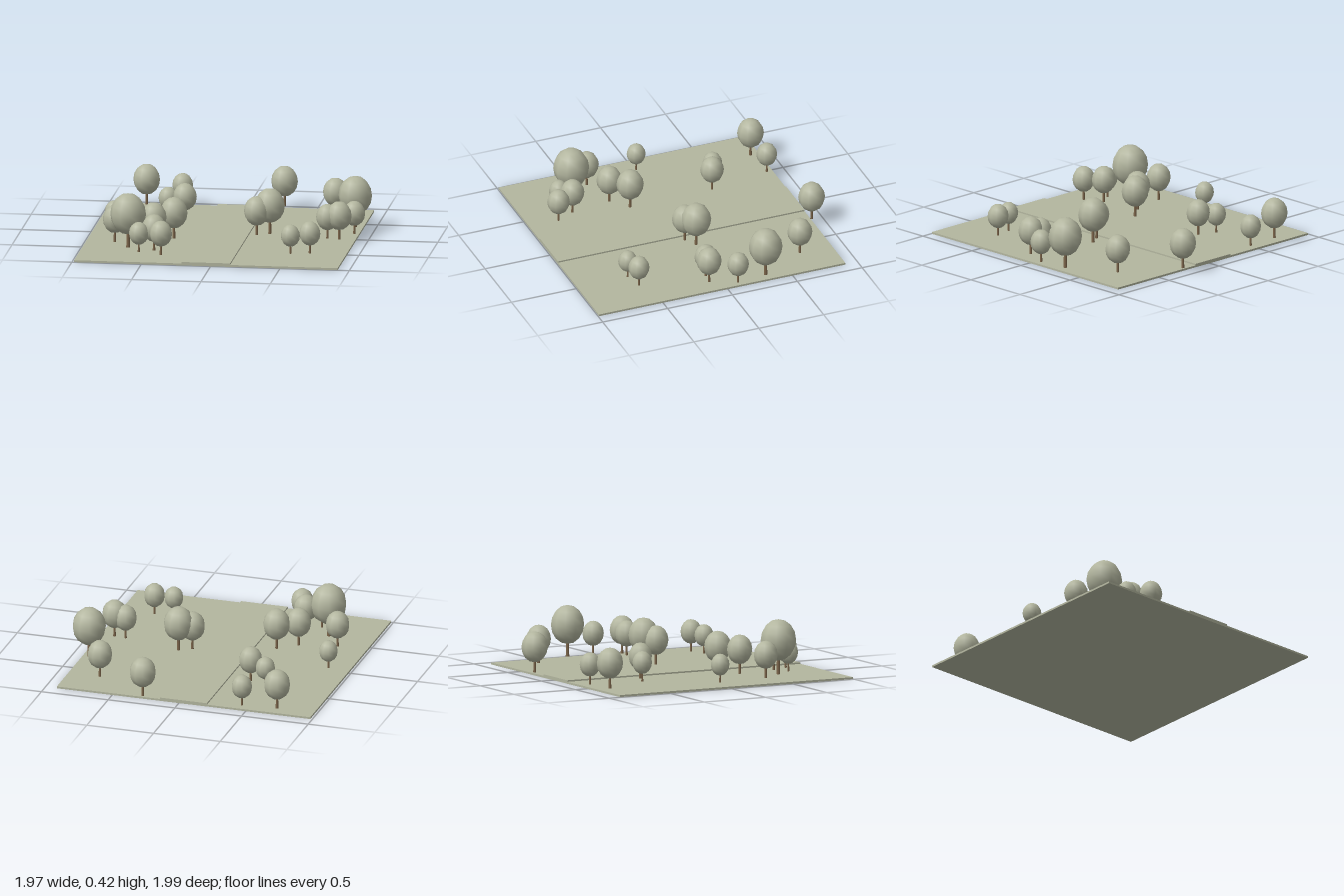
import * as THREE from 'three';

export function createModel() {
  const model = new THREE.Group();
  const sage = new THREE.MeshStandardMaterial({ name: 'sage', color: 0xb3b69f });
  const bark = new THREE.MeshStandardMaterial({ name: 'bark', color: 0x7d664b });

  const slab = (name, x0, x1, y0, y1) => {
    const mesh = new THREE.Mesh(new THREE.BoxGeometry(x1 - x0, y1 - y0, 1.9), sage);
    mesh.name = name;
    mesh.position.set((x0 + x1) / 2, (y0 + y1) / 2, 0.045);
    model.add(mesh);
  };

  // Square ground with a slightly raised road
  slab('ground', -0.985, 0.915, 0, 0.014);
  slab('road', -0.21, 0.14, 0.014, 0.025);

  // Unit tree: crown radius is 1, everything else scales with it
  const crownGeometry = new THREE.SphereGeometry(1, 10, 8);
  crownGeometry.scale(1, 1.16, 1);
  crownGeometry.translate(0, 1.91, 0);
  const trunkGeometry = new THREE.CylinderGeometry(0.08, 0.11, 1.1, 8);
  trunkGeometry.translate(0, 0.55, 0);

  // Trees: x, z, crown radius
  const trees = [
    [-0.714, -0.836, 0.096], [-0.457, -0.857, 0.075], [0.27, -0.907, 0.096],
    [0.672, -0.653, 0.09], [0.862, -0.312, 0.121], [0.886, -0.09, 0.078],
    [-0.505, -0.457, 0.071], [-0.378, -0.403, 0.085], [-0.833, -0.003, 0.068],
    [0.201, 0.043, 0.092], [0.288, -0.01, 0.108], [0.717, 0.09, 0.082],
    [0.803, 0.1, 0.09], [-0.37, 0.232, 0.098], [-0.5, 0.34, 0.092],
    [-0.772, 0.403, 0.087], [-0.653, 0.571, 0.129], [-0.457, 0.641, 0.086],
    [-0.389, 0.776, 0.081], [-0.558, 0.705, 0.071], [0.522, 0.613, 0.069],
    [0.658, 0.582, 0.076],
  ];
  for (const [x, z, r] of trees) {
    const tree = new THREE.Group();
    tree.name = 'tree';
    const crown = new THREE.Mesh(crownGeometry, sage);
    crown.name = 'crown';
    const trunk = new THREE.Mesh(trunkGeometry, bark);
    trunk.name = 'trunk';
    tree.add(trunk, crown);
    tree.position.set(x, 0.024, z);
    tree.scale.setScalar(r);
    model.add(tree);
  }
  return model;
}
